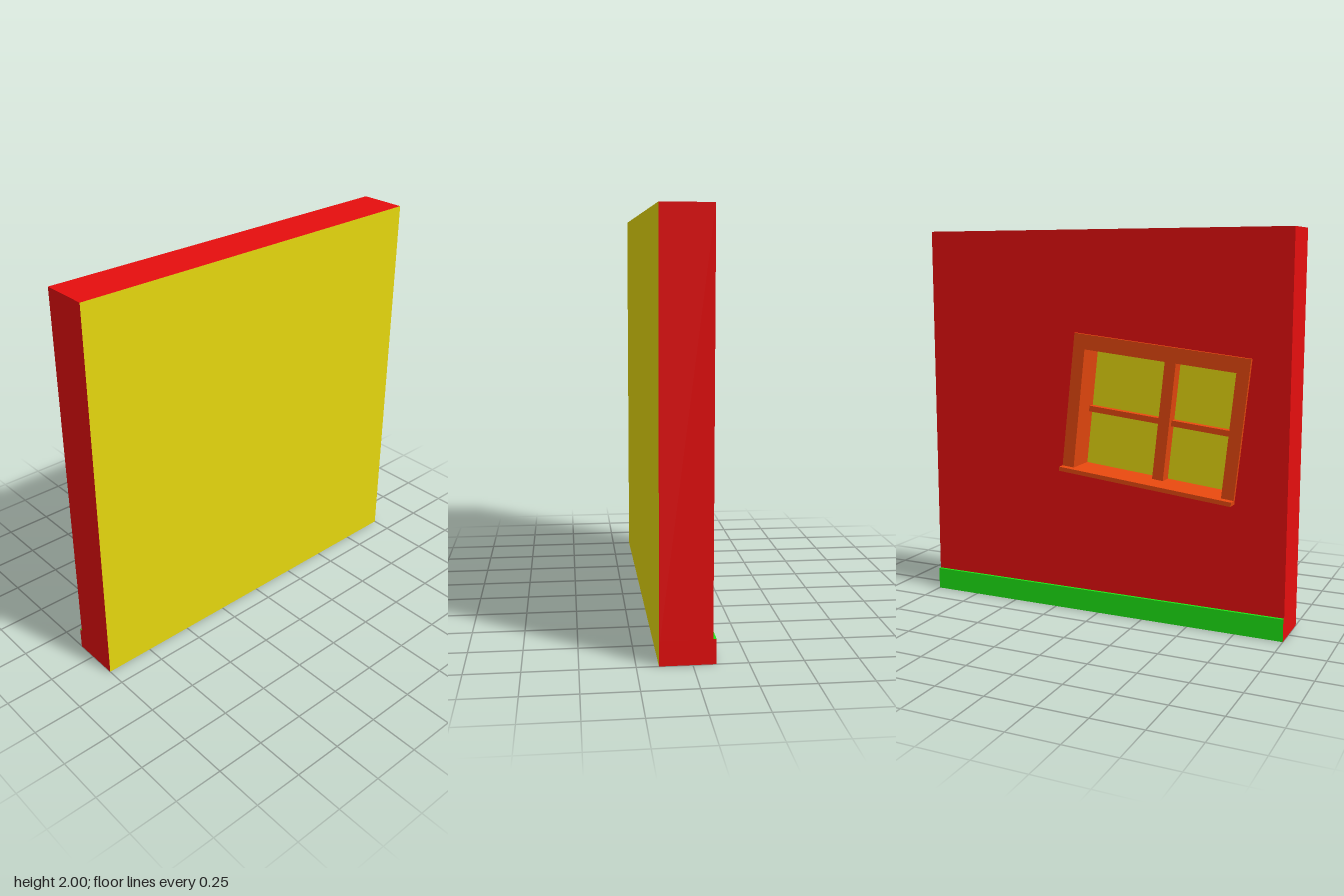
import * as THREE from 'three';

const mat = (color) => new THREE.MeshStandardMaterial({ color });

// Rectangle outline, used for shapes and holes
function rect(target, x0, y0, x1, y1, angle = 0, cx = 0, cy = 0) {
  const c = Math.cos(angle), s = Math.sin(angle);
  const pts = [[x0, y0], [x1, y0], [x1, y1], [x0, y1]]
    .map(([x, y]) => new THREE.Vector2(cx + x * c - y * s, cy + x * s + y * c));
  return target.setFromPoints(pts);
}

// Box given by its limits on each axis
function box(name, [x0, x1], [y0, y1], [z0, z1], material) {
  const mesh = new THREE.Mesh(new THREE.BoxGeometry(x1 - x0, y1 - y0, z1 - z0), material);
  mesh.position.set((x0 + x1) / 2, (y0 + y1) / 2, (z0 + z1) / 2);
  mesh.name = name;
  return mesh;
}

// Flat shape with depth between two z limits
function slab(name, shape, z0, z1, material) {
  const mesh = new THREE.Mesh(
    new THREE.ExtrudeGeometry(shape, { depth: z1 - z0, bevelEnabled: false }), material);
  mesh.position.z = z0;
  mesh.name = name;
  return mesh;
}

export function createModel() {
  const red = mat(0xe60e0e), yellow = mat(0xe6d80e), green = mat(0x1ee614), orange = mat(0xe6480e);
  const tilt = -0.105, cx = 0.303, cy = 1.07;   // the window hangs slightly crooked
  const W = 0.472, H = 0.362;                   // window half width and half height
  const inW = 0.407, inTop = 0.285, inBottom = -0.34;

  // The facade is laid out facing +z, then turned to face -x
  const facade = new THREE.Group();
  facade.name = 'facade';
  facade.rotation.y = -Math.PI / 2;

  // Wall with a tilted opening, and the yellow inner face
  const wallShape = rect(new THREE.Shape(), -1, 0.115, 1, 2);
  wallShape.holes.push(rect(new THREE.Path(), -W, -H, W, H, tilt, cx, cy));
  facade.add(slab('wall', wallShape, -0.145, 0.09, red));
  facade.add(box('innerFace', [-1, 1], [0.115, 2], [-0.15, -0.145],
    [red, red, red, red, red, yellow]));

  // Wall foot with projecting baseboard
  facade.add(box('baseboard', [-1, 1], [0, 0.115], [-0.15, 0.105],
    [red, red, green, green, green, yellow]));

  // Window casing, sill, glass and glazing bars
  const win = new THREE.Group();
  win.name = 'window';
  win.position.set(cx, cy, 0);
  win.rotation.z = tilt;
  const casing = rect(new THREE.Shape(), -W, -H, W, H);
  casing.holes.push(rect(new THREE.Path(), -inW, inBottom, inW, inTop));
  win.add(slab('windowCasing', casing, -0.055, 0.11, orange));
  win.add(box('windowSill', [-W, W], [-H, inBottom], [0.11, 0.15], orange));
  win.add(box('windowGlass', [-W, W], [-H, H], [-0.065, -0.055], yellow));
  win.add(box('verticalBar', [0, 0.06], [inBottom, inTop], [-0.055, 0.015], orange));
  win.add(box('horizontalBar', [-inW, inW], [-0.055, -0.025], [-0.055, -0.015], orange));
  facade.add(win);

  const model = new THREE.Group();
  model.name = 'wallWithWindow';
  model.add(facade);
  return model;
}
